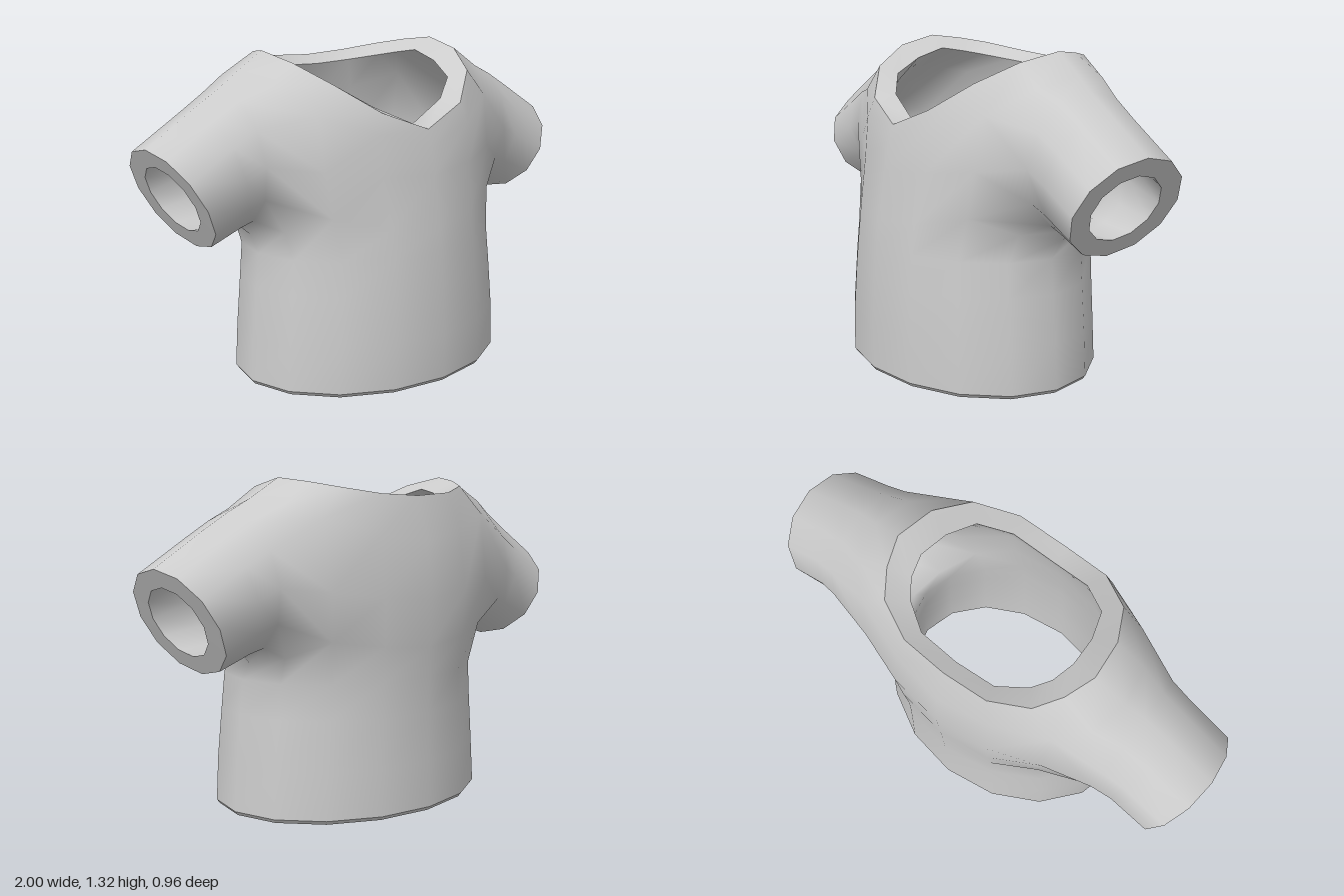
import * as THREE from 'three';
import { toCreasedNormals } from 'three/addons/utils/BufferGeometryUtils.js';

const N = 16; // columns round the torso, from centre front towards +x

// half a torso ring (front to back) as an ellipse
const oval = (y, a, front, back) => Array.from({ length: 9 }, (_, j) => {
  const t = j * Math.PI / 8, c = Math.cos(t);
  return [a * Math.sin(t), y, c * (c > 0 ? front : back)];
});

// complete a half ring by mirroring it in x
const fullRing = half => Array.from({ length: N }, (_, j) => {
  const [x, y, z] = half[j <= 8 ? j : N - j];
  return new THREE.Vector3(j <= 8 ? x : -x, y, z);
});

// sleeve ring: centre, half vector in the xy plane, depth radius
const sleeveRing = (side, cx, cy, cz, hx, hy, rz) => Array.from({ length: 12 }, (_, k) => {
  const t = k * Math.PI / 6, c = Math.cos(t);
  return new THREE.Vector3(side * (cx + hx * c), cy + hy * c, cz + rz * Math.sin(t));
});

// sleeve rings from armhole to cuff, outside and lining
const SLEEVE = [
  [0.645, 0.925, -0.075, 0.03, 0.268, 0.262],
  [0.73, 0.885, -0.07, 0.06, 0.242, 0.25],
  [0.9, 0.8, -0.067, 0.1, 0.2, 0.25],
];
const SLEEVE_LINING = [
  [0.635, 0.877, -0.07, 0.025, 0.213, 0.185],
  [0.73, 0.845, -0.066, 0.05, 0.179, 0.172],
  [0.9, 0.8, -0.062, 0.065, 0.131, 0.16],
];

// quads joining two closed loops of vertex indices
const band = (a, b, skip = () => false) => a.flatMap((v, i) => {
  const n = (i + 1) % a.length;
  return skip(i) ? [] : [[v, a[n], b[n], b[i]]];
});

function buildGeometry(points, quads) {
  const g = new THREE.BufferGeometry().setFromPoints(points);
  g.setIndex(quads.flatMap(([a, b, c, d]) => [a, b, c, a, c, d]));
  return g;
}

export function createModel() {
  const group = new THREE.Group();
  const points = [];
  const add = ring => ring.map(p => points.push(p) - 1);

  // torso rows from hem to neckline; the chest row is open at the armholes
  const chestFront = [0.44, 0.89, 0.275];
  const rows = [
    oval(0.016, 0.607, 0.48, 0.48),
    oval(0.2, 0.596, 0.479, 0.472),
    oval(0.4, 0.576, 0.467, 0.468),
    oval(0.54, 0.562, 0.455, 0.469),
    [[0, 0.64, 0.444], [0.217, 0.66, 0.405], [0.42, 0.71, 0.297], [0.53, 0.645, 0.13], [0.567, 0.61, -0.05],
      [0.53, 0.645, -0.22], [0.42, 0.71, -0.365], [0.22, 0.68, -0.445], [0, 0.66, -0.474]],
    [[0, 0.84, 0.41], [0.235, 0.86, 0.37], chestFront, chestFront, chestFront, chestFront,
      [0.44, 0.9, -0.385], [0.23, 0.87, -0.455], [0, 0.85, -0.48]],
    [[0, 0.95, 0.388], [0.23, 1.02, 0.358], [0.45, 1.1, 0.24], [0.56, 1.2, 0.08], [0.59, 1.24, -0.09],
      [0.55, 1.22, -0.24], [0.45, 1.17, -0.345], [0.22, 1.11, -0.427], [0, 1.07, -0.458]],
    [[0, 1.02, 0.37], [0.21, 1.1, 0.335], [0.36, 1.21, 0.225], [0.435, 1.285, 0.07], [0.455, 1.32, -0.1],
      [0.41, 1.305, -0.22], [0.34, 1.285, -0.32], [0.19, 1.26, -0.39], [0, 1.25, -0.4]],
  ].map(half => add(fullRing(half)));
  const [hem, neck] = [rows[0], rows[7]];
  const outer = [];
  for (let r = 0; r < 7; r++) {
    const armhole = j => (r === 4 || r === 5) && j % 8 >= 2 && j % 8 <= 5;
    outer.push(...band(rows[r], rows[r + 1], armhole));
  }

  // sleeves grow out of the armhole loops
  const [B, M, T] = rows.slice(4, 7);
  const sleeves = [1, -1].map(side => {
    const col = j => side > 0 ? j : N - j;
    const armhole = [T[col(4)], T[col(3)], T[col(2)], M[col(2)], B[col(2)], B[col(3)],
      B[col(4)], B[col(5)], B[col(6)], M[col(6)], T[col(6)], T[col(5)]];
    const loops = [armhole, ...SLEEVE.map(s => add(sleeveRing(side, ...s)))];
    for (let i = 0; i < 3; i++) {
      const quads = band(loops[i], loops[i + 1]);
      outer.push(...(side > 0 ? quads : quads.map(q => q.reverse())));
    }
    return { side, rings: loops.slice(1) };
  });

  // lining: the outer surface moved inwards and turned over
  const count = points.length, inside = i => i + count;
  const shell = buildGeometry(points, outer);
  shell.computeVertexNormals();
  for (let i = 0; i < count; i++) {
    const n = new THREE.Vector3().fromBufferAttribute(shell.attributes.normal, i);
    points.push(points[i].clone().addScaledVector(n, -0.083));
  }
  hem.forEach(i => { points[inside(i)].y = 0; });
  B.forEach(i => { points[inside(i)].y = points[i].y; });
  fullRing([[0, 1.03, 0.28], [0.18, 1.11, 0.25], [0.3, 1.18, 0.17], [0.345, 1.235, 0.04], [0.355, 1.27, -0.09],
    [0.33, 1.255, -0.18], [0.28, 1.24, -0.25], [0.17, 1.222, -0.32], [0, 1.215, -0.33]])
    .forEach((p, j) => points[inside(neck[j])].copy(p));
  sleeves.forEach(({ side, rings }) => rings.forEach((ring, r) => {
    sleeveRing(side, ...SLEEVE_LINING[r]).forEach((p, k) => points[inside(ring[k])].copy(p));
  }));
  const lining = outer.map(q => q.map(inside).reverse());

  // bevelled lower edge of the hem
  const bevel = add(fullRing(oval(0, 0.595, 0.468, 0.468)));

  const material = new THREE.MeshStandardMaterial({ color: 0xcccccc });
  const part = (name, quads, crease = 1.2) => {
    const mesh = new THREE.Mesh(toCreasedNormals(buildGeometry(points, quads), crease), material);
    mesh.name = name;
    group.add(mesh);
  };
  part('bodyAndSleeves', outer, 1.5);
  part('lining', lining, 1.5);
  part('neckline', band(neck, neck.map(inside)));
  part('hem', [...band(hem.map(inside), bevel), ...band(bevel, hem)], 0.5);
  sleeves.forEach(({ side, rings }) => {
    const rim = band(rings[2], rings[2].map(inside));
    part(side > 0 ? 'leftCuff' : 'rightCuff', side > 0 ? rim : rim.map(q => q.reverse()));
  });
  return group;
}
